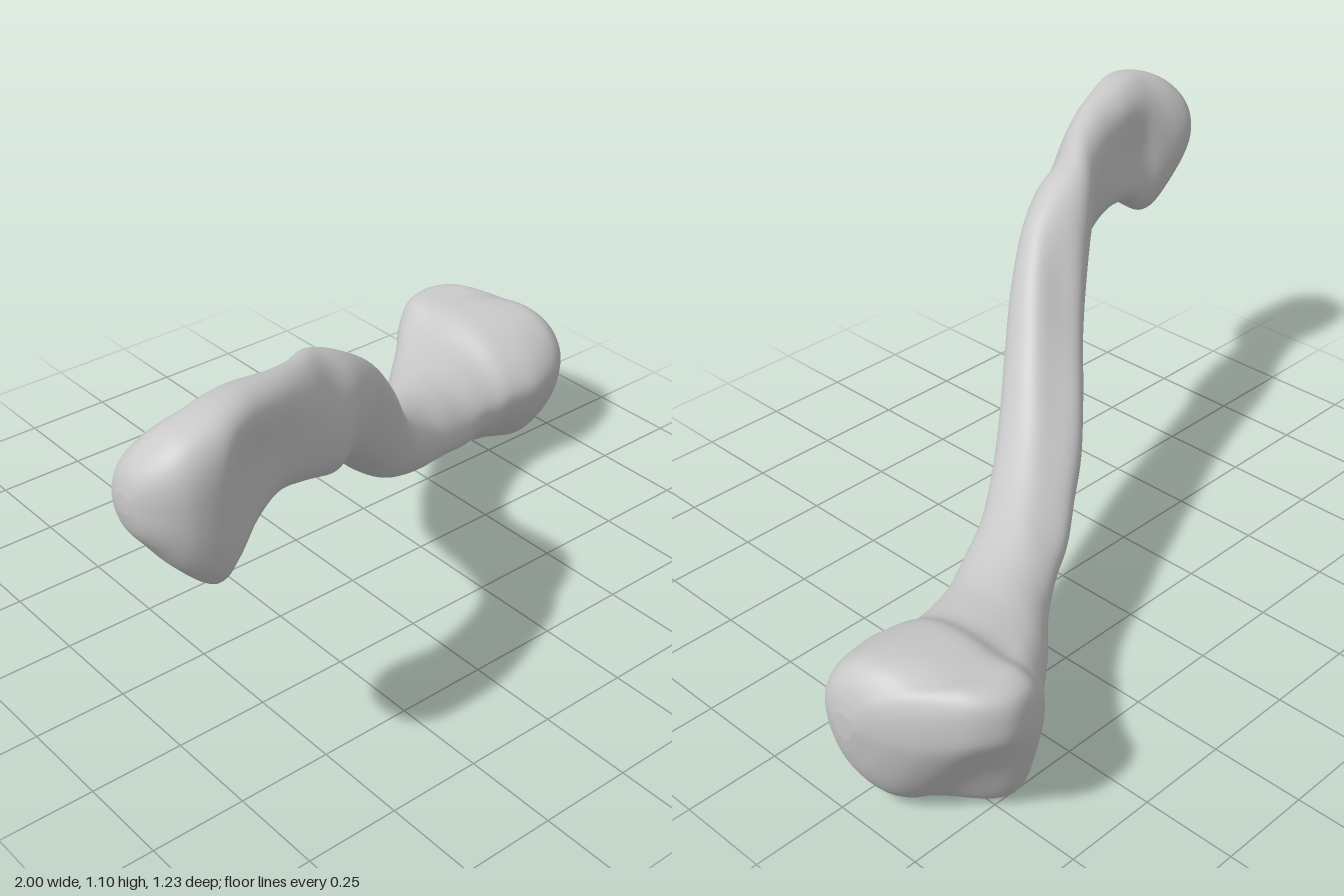
import * as THREE from 'three';

// Cross-sections along x: [x, yMin, yMax, zMin, zMax, lean, pinch]
// lean tilts the oval in the yz plane, pinch hollows its front and back.
const BLADE_END = [
  [-1.0, 0.9, 0.945, 0.46, 0.505, 0.1, 0],
  [-0.985, 0.845, 0.99, 0.42, 0.54, 0.1, 0],
  [-0.95, 0.795, 1.03, 0.39, 0.58, 0.1, 0],
  [-0.9, 0.73, 1.065, 0.38, 0.608, 0.1, 0.02],
  [-0.83, 0.668, 1.087, 0.378, 0.618, 0.1, 0.1],
  [-0.77, 0.693, 1.095, 0.372, 0.605, 0.12, 0.3],
  [-0.7, 0.742, 1.09, 0.365, 0.578, 0.15, 0.36],
  [-0.6, 0.76, 1.068, 0.352, 0.538, 0.2, 0.25],
  [-0.5, 0.738, 1.037, 0.32, 0.5, 0.05, 0.1],
];
const SHAFT = [
  [-0.4, 0.7, 1.003, 0.265, 0.455, -0.15, 0],
  [-0.3, 0.65, 0.955, 0.195, 0.405, 0.3, 0],
  [-0.2, 0.56, 0.88, 0.115, 0.352, 0.55, 0],
  [-0.1, 0.455, 0.768, 0.02, 0.29, 0.6, 0],
  [0, 0.36, 0.635, -0.068, 0.215, 0.55, 0],
  [0.1, 0.3, 0.52, -0.138, 0.137, 0.42, 0],
  [0.2, 0.248, 0.44, -0.21, 0.065, 0.28, 0],
  [0.3, 0.207, 0.388, -0.265, 0.003, 0.12, 0],
  [0.4, 0.17, 0.355, -0.335, -0.038, 0.05, 0],
];
const JOINT_END = [
  [0.5, 0.13, 0.345, -0.43, -0.078, -0.05, 0],
  [0.6, 0.085, 0.355, -0.515, -0.108, -0.05, 0],
  [0.66, 0.035, 0.37, -0.575, -0.115, 0, 0],
  [0.72, 0.005, 0.405, -0.608, -0.12, 0, 0],
  [0.8, 0.0, 0.416, -0.618, -0.113, 0, 0],
  [0.87, 0.006, 0.418, -0.575, -0.126, 0, 0],
  [0.93, 0.045, 0.408, -0.49, -0.15, 0, 0],
  [0.97, 0.105, 0.375, -0.41, -0.18, 0, 0],
  [0.99, 0.165, 0.335, -0.35, -0.21, 0, 0],
  [1.0, 0.22, 0.29, -0.31, -0.245, 0, 0],
];

// Outline of the joint head as (height, depth), from the top round by the front
const HEAD_OUTLINE = new THREE.CatmullRomCurve3([
  [1, -0.06], [0.91, 0.41], [0.63, 0.8], [0.27, 1], [-0.14, 0.93],
  [-0.45, 0.76], [-0.76, 0.47], [-0.96, 0.08], [-1, -0.57], [-0.76, -0.77],
  [-0.04, -0.95], [0.44, -1], [0.87, -0.95], [0.99, -0.77], [0.96, -0.47],
].map(([u, v]) => new THREE.Vector3(u, v, 0)), true);

const SIDES = 64;
const STEPS = 6;
const { smoothstep, clamp } = THREE.MathUtils;

// Smooth blend between neighbouring sections
function blend(rows, i, t) {
  const at = (k) => rows[clamp(k, 0, rows.length - 1)];
  const [a, b, c, d] = [at(i - 1), at(i), at(i + 1), at(i + 2)];
  return b.map((_, k) => {
    const m0 = (c[k] - a[k]) / 2;
    const m1 = (d[k] - b[k]) / 2;
    const t2 = t * t;
    const t3 = t2 * t;
    return (2 * t3 - 3 * t2 + 1) * b[k] + (t3 - 2 * t2 + t) * m0
      + (3 * t2 - 2 * t3) * c[k] + (t3 - t2) * m1;
  });
}

const signedPow = (v, e) => Math.sign(v) * Math.pow(Math.abs(v), e);

// Leaning oval, squarer on the front of the blade tip and fuller on the
// lower front of the shaft; returned as (height, depth)
function ovalPoint(x, lean, pinch, angle) {
  const u = Math.cos(angle);
  const v = Math.cos(angle - Math.acos(lean));
  const front = smoothstep(v, -0.4, 0.4);
  const e = 1 - 0.25 * front * (1 - smoothstep(x, -0.8, -0.6));
  const hollow = 1 - pinch * Math.pow(1 - u * u, 2);
  const shaft = smoothstep(x, -0.35, -0.15) * (1 - smoothstep(x, 0.25, 0.45));
  const sag = 0.2 * shaft * (1 - u * u) * (1 - v * v);
  return new THREE.Vector3(signedPow(u, e) - sag, signedPow(v, e) * hollow + sag, 0);
}

// Head outline, its lower back cut away towards the end face
function headPoint(x, turn) {
  const p = HEAD_OUTLINE.getPoint(turn);
  p.y += 0.5 * smoothstep(x, 0.7, 0.86) * Math.max(0, 0.4 - p.x) * (1 - p.y) / 2;
  return p;
}

function ringPoint([x, y0, y1, z0, z1, lean, pinch], turn) {
  const headShare = smoothstep(x, 0.45, 0.72) * (1 - 0.4 * smoothstep(x, 0.85, 0.97));
  const p = ovalPoint(x, lean, pinch, turn * Math.PI * 2).lerp(headPoint(x, turn), headShare);
  return [x, (y0 + y1) / 2 + (y1 - y0) / 2 * p.x, (z0 + z1) / 2 + (z1 - z0) / 2 * p.y];
}

function loft(rows) {
  const sections = [];
  for (let i = 0; i < rows.length - 1; i++) {
    for (let s = 0; s < STEPS; s++) sections.push(blend(rows, i, s / STEPS));
  }
  sections.push(rows[rows.length - 1]);

  const position = [];
  const index = [];
  sections.forEach((section, i) => {
    for (let j = 0; j < SIDES; j++) {
      position.push(...ringPoint(section, j / SIDES));
      if (i === sections.length - 1) continue;
      const a = i * SIDES + j;
      const b = i * SIDES + (j + 1) % SIDES;
      index.push(a, b, a + SIDES, b, b + SIDES, a + SIDES);
    }
  });

  // Close both tips
  const last = sections.length - 1;
  const centre = (s) => [s[0], (s[1] + s[2]) / 2, (s[3] + s[4]) / 2];
  const startTip = position.length / 3;
  position.push(...centre(sections[0]), ...centre(sections[last]));
  for (let j = 0; j < SIDES; j++) {
    const k = (j + 1) % SIDES;
    index.push(startTip, k, j);
    index.push(startTip + 1, last * SIDES + j, last * SIDES + k);
  }

  const geometry = new THREE.BufferGeometry();
  geometry.setAttribute('position', new THREE.Float32BufferAttribute(position, 3));
  geometry.setIndex(index);
  geometry.computeVertexNormals();
  return geometry;
}

export function createModel() {
  const boneGrey = new THREE.MeshStandardMaterial({ color: 0xc8c8c8 });
  boneGrey.name = 'bone grey';

  // The whole bone is one continuous smooth surface
  const bone = new THREE.Mesh(loft([...BLADE_END, ...SHAFT, ...JOINT_END]), boneGrey);
  bone.name = 'bone';

  const group = new THREE.Group();
  group.name = 'collarBone';
  group.add(bone);
  return group;
}
